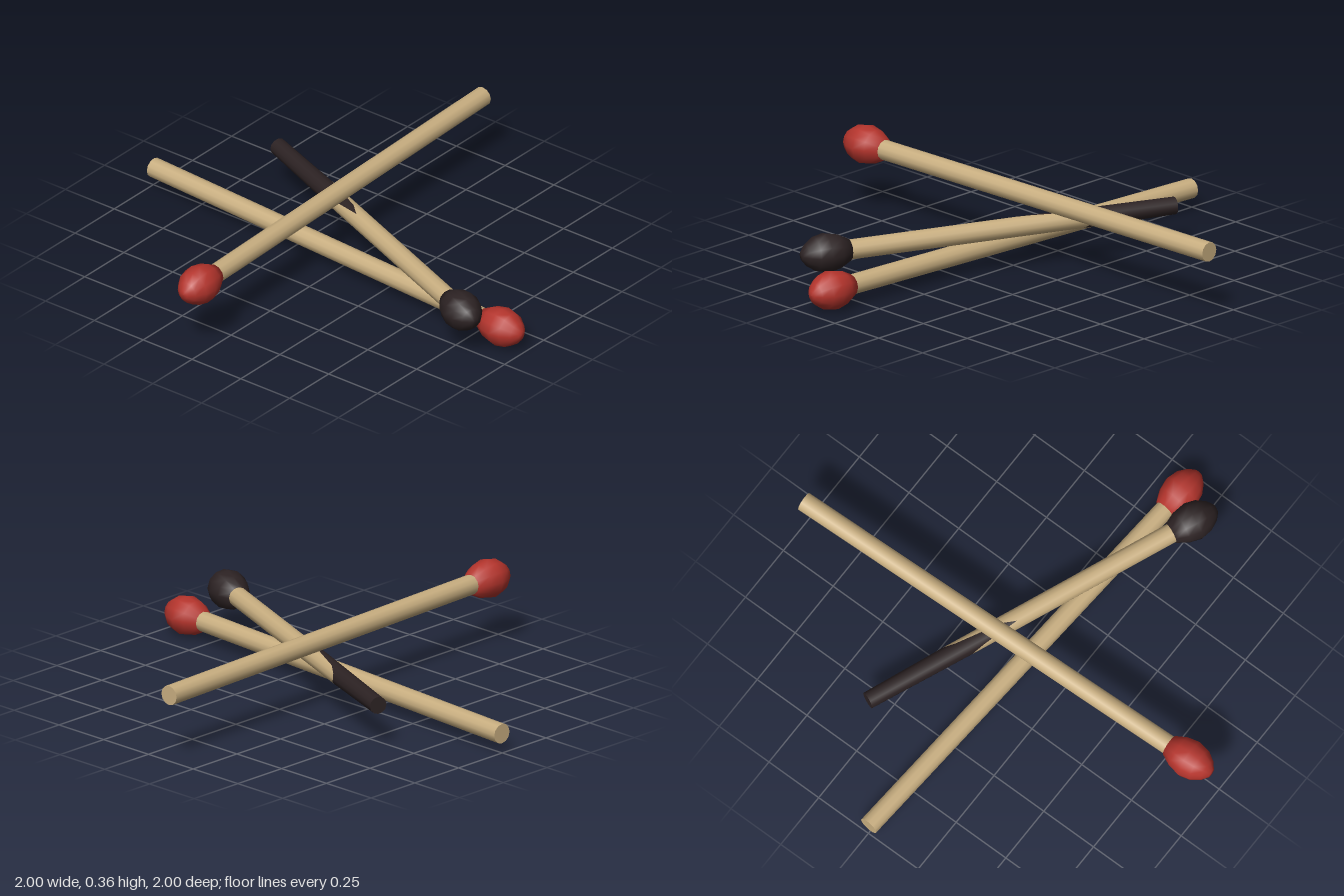
import * as THREE from 'three';

const SIDES = 12, R = 0.041;

const material = (name, color) => {
  const m = new THREE.MeshStandardMaterial({ color });
  m.name = name;
  return m;
};

// Open stick section along +z; start and end may be numbers or one value per side
function section(start, end, rStart, rEnd) {
  const g = new THREE.CylinderGeometry(rEnd, rStart, 1, SIDES, 1, true).rotateX(Math.PI / 2);
  const p = g.attributes.position;
  for (let i = 0; i < p.count; i++) {
    const limit = i <= SIDES ? end : start;
    p.setZ(i, Array.isArray(limit) ? limit[(i % (SIDES + 1)) % SIDES] : limit);
  }
  return g;
}

// Egg-shaped head along +z, centred on its widest ring
function headGeometry() {
  const profile = [[0, -0.105], [0.045, -0.1], [0.07, -0.052], [0.081, 0], [0.071, 0.046], [0.045, 0.085], [0.018, 0.106], [0, 0.108]];
  return new THREE.LatheGeometry(profile.map(([r, y]) => new THREE.Vector2(r, y)), 12).rotateX(Math.PI / 2);
}

// How far the charring reaches on each side: bottom, back, top, front
const charEdge = [0.5, 0.4, 0.38, 0.36, 0.37, 0.42, 0.62, 0.68, 0.52, 0.46, 0.5, 0.63];

export function createModel() {
  const wood = material('wood', 0xc8ae80);
  const red = material('red tip', 0xb4342c);
  const black = material('charred black', 0x2c2223);
  const model = new THREE.Group();
  model.name = 'matches';

  // Each match runs from its tail to the centre of its head
  const addMatch = (name, y, tail, head, burnt) => {
    const match = new THREE.Group();
    match.name = name;
    const dx = head[0] - tail[0], dz = head[1] - tail[1], length = Math.hypot(dx, dz);
    match.position.set(tail[0], y, tail[1]);
    match.rotation.y = Math.atan2(dx, dz);
    const add = (part, geometry, mat, z = 0) => {
      const mesh = new THREE.Mesh(geometry, mat);
      mesh.name = part;
      mesh.position.z = z;
      match.add(mesh);
    };
    const tailRadius = burnt ? 0.036 : R;
    add('stick', section(burnt ? charEdge : 0, length - 0.06, R, R), wood);
    if (burnt) add('charredStick', section(0, charEdge, tailRadius, R), black);
    add('stickEnd', new THREE.CircleGeometry(tailRadius, SIDES).rotateY(Math.PI), burnt ? black : wood);
    add('head', headGeometry(), burnt ? black : red, length);
    model.add(match);
  };

  addMatch('bottomMatch', 0.083, [-0.998, 0], [0.89, 0.13], false);
  addMatch('burntMatch', 0.183, [-0.605, -0.305], [0.79, 0.265], true);
  addMatch('topMatch', 0.28, [-0.115, -1], [-0.05, 0.89], false);
  return model;
}
